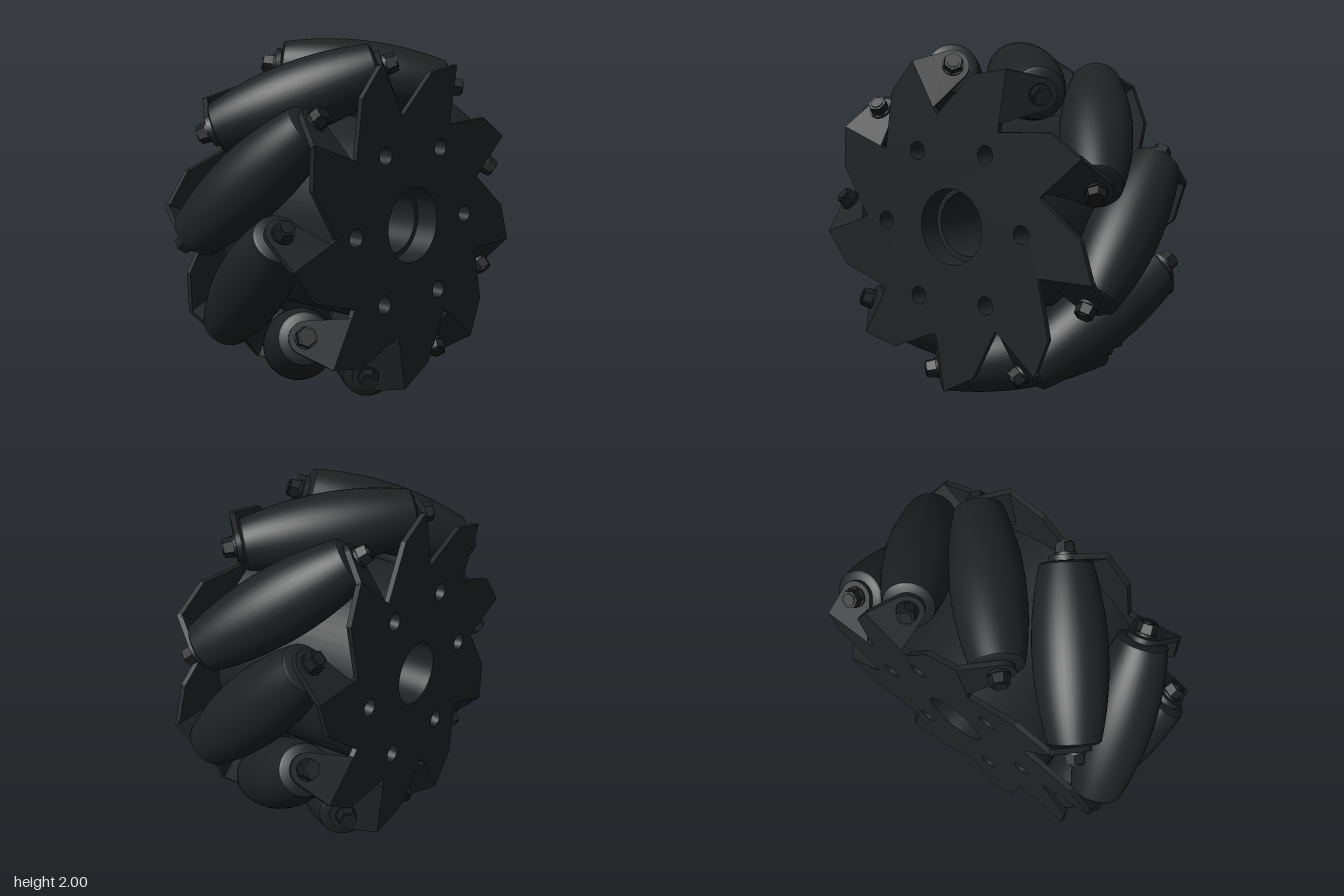
import * as THREE from 'three';
import { toCreasedNormals } from 'three/addons/utils/BufferGeometryUtils.js';

const COUNT = 9;            // rollers around the wheel
const AXLE_R = 0.8;         // distance of roller axles from the wheel axis
const FOLD_Y = -0.22;       // fold line of each bent tab
const PLATE_Z = 0.495;      // outer face of the side plates
const THICK = 0.03;

const plateMat = new THREE.MeshStandardMaterial({ color: 0x202224 });
const rollerMat = new THREE.MeshStandardMaterial({ color: 0x1e2022 });
const boltMat = new THREE.MeshStandardMaterial({ color: 0x1c1d1f });

function mesh(name, geometry, material, parent) {
  const m = new THREE.Mesh(geometry, material);
  m.name = name;
  parent.add(m);
  return m;
}

function circleHole(x, y, r) {
  return new THREE.Path().absarc(x, y, r, 0, Math.PI * 2, true);
}

// Central bore plus six mounting holes
function addHoles(shape, bore) {
  shape.holes.push(circleHole(0, 0, bore));
  for (let i = 0; i < 6; i++) {
    const a = i * Math.PI / 3;
    shape.holes.push(circleHole(0.47 * Math.cos(a), 0.47 * Math.sin(a), 0.05));
  }
  return shape;
}

function extrude(shape, depth) {
  return new THREE.ExtrudeGeometry(shape, { depth, bevelEnabled: false, curveSegments: 32 });
}

// Pinwheel outline: fold line, slanted outer edge and notch for each tooth
function plateGeometry(bore) {
  const tooth = [[0.62, FOLD_Y], [0.91, FOLD_Y], [0.84, 0], [0.585, 0.2]];
  const pts = [];
  for (let k = 0; k < COUNT; k++) {
    const a = k * 2 * Math.PI / COUNT;
    for (const [x, y] of tooth) {
      pts.push(new THREE.Vector2(x, y).rotateAround(new THREE.Vector2(), a));
    }
  }
  return extrude(addHoles(new THREE.Shape(pts), bore), THICK);
}

// Tapered tab with a round end about the bolt
function tabGeometry() {
  const s = new THREE.Shape();
  s.moveTo(0.62, 0);
  s.lineTo(0.91, 0);
  s.absarc(AXLE_R, 0.194, 0.09, 0, 2.74, false);
  s.closePath();
  return extrude(s, THICK);
}

// Barrel profile whose outer side follows the wheel's cylinder of radius 1
function rollerGeometry() {
  const max = 0.36, steps = 24, pts = [];
  for (let i = 0; i <= steps; i++) {
    const a = -max + 2 * max * i / steps;
    const d = 1 - AXLE_R / Math.cos(a);
    const t = Math.SQRT2 * AXLE_R * Math.tan(a) + d * Math.sin(a) * Math.SQRT1_2;
    pts.push(new THREE.Vector2(d * Math.sqrt(1 - Math.sin(a) ** 2 / 2), t));
  }
  const end = pts[steps].y;
  pts.unshift(new THREE.Vector2(0, -end - 0.01), new THREE.Vector2(0.125, -end - 0.01));
  pts.push(new THREE.Vector2(0.125, end + 0.01), new THREE.Vector2(0, end + 0.01));
  return toCreasedNormals(new THREE.LatheGeometry(pts, 40), 0.6);
}

// Side plate with its ring of bent tabs
function sidePlate(name, bore, tabGeo) {
  const side = new THREE.Group();
  side.name = name;
  mesh('plate', plateGeometry(bore), plateMat, side).position.z = PLATE_Z - THICK;
  for (let k = 0; k < COUNT; k++) {
    const arm = new THREE.Group();
    arm.name = 'tabArm';
    arm.rotation.z = k * 2 * Math.PI / COUNT;
    const tab = mesh('tab', tabGeo, plateMat, arm);
    tab.position.set(0, FOLD_Y, PLATE_Z);
    tab.rotation.x = -Math.PI * 3 / 4;
    side.add(arm);
  }
  return side;
}

export function createModel() {
  const wheel = new THREE.Group();
  wheel.name = 'rollerWheel';
  const hubGroup = new THREE.Group();
  hubGroup.name = 'wheelBody';
  hubGroup.position.y = 1;
  wheel.add(hubGroup);

  // Drum between the plates, with a wider bore at the front
  const disc = (bore) => addHoles(new THREE.Shape().absarc(0, 0, 0.565, 0, Math.PI * 2, false), bore);
  const inner = PLATE_Z - THICK, step = 0.36;
  const drum = mesh('drum', toCreasedNormals(extrude(disc(0.18), step + inner), 0.5), plateMat, hubGroup);
  drum.position.z = -inner;
  const frontDrum = mesh('drumFront', toCreasedNormals(extrude(disc(0.21), inner - step), 0.5), plateMat, hubGroup);
  frontDrum.position.z = step;

  // Front plate, and the back plate turned about x
  const tabGeo = tabGeometry();
  hubGroup.add(sidePlate('frontPlate', 0.21, tabGeo));
  const back = sidePlate('backPlate', 0.18, tabGeo);
  back.rotation.x = Math.PI;
  hubGroup.add(back);

  // Rollers on slanted axles, with a hex bolt at both ends
  const rollerGeo = rollerGeometry();
  const axleGeo = new THREE.CylinderGeometry(0.035, 0.035, 1.16, 16);
  const washerGeo = new THREE.CylinderGeometry(0.06, 0.06, 0.015, 20);
  const hexGeo = toCreasedNormals(new THREE.CylinderGeometry(0.052, 0.058, 0.055, 6), 0.3);
  for (let k = 0; k < COUNT; k++) {
    const spoke = new THREE.Group();
    spoke.name = 'rollerUnit';
    spoke.rotation.z = k * 2 * Math.PI / COUNT;
    const unit = new THREE.Group();
    unit.name = 'rollerAssembly';
    unit.position.x = AXLE_R;
    unit.rotation.x = Math.PI * 3 / 4;
    spoke.add(unit);
    mesh('roller', rollerGeo, rollerMat, unit);
    mesh('axle', axleGeo, boltMat, unit);
    for (const s of [1, -1]) {
      const bolt = new THREE.Group();
      bolt.name = 'bolt';
      if (s < 0) bolt.rotation.x = Math.PI;
      mesh('washer', washerGeo, boltMat, bolt).position.y = 0.513;
      mesh('hexHead', hexGeo, boltMat, bolt).position.y = 0.546;
      unit.add(bolt);
    }
    hubGroup.add(spoke);
  }
  return wheel;
}
